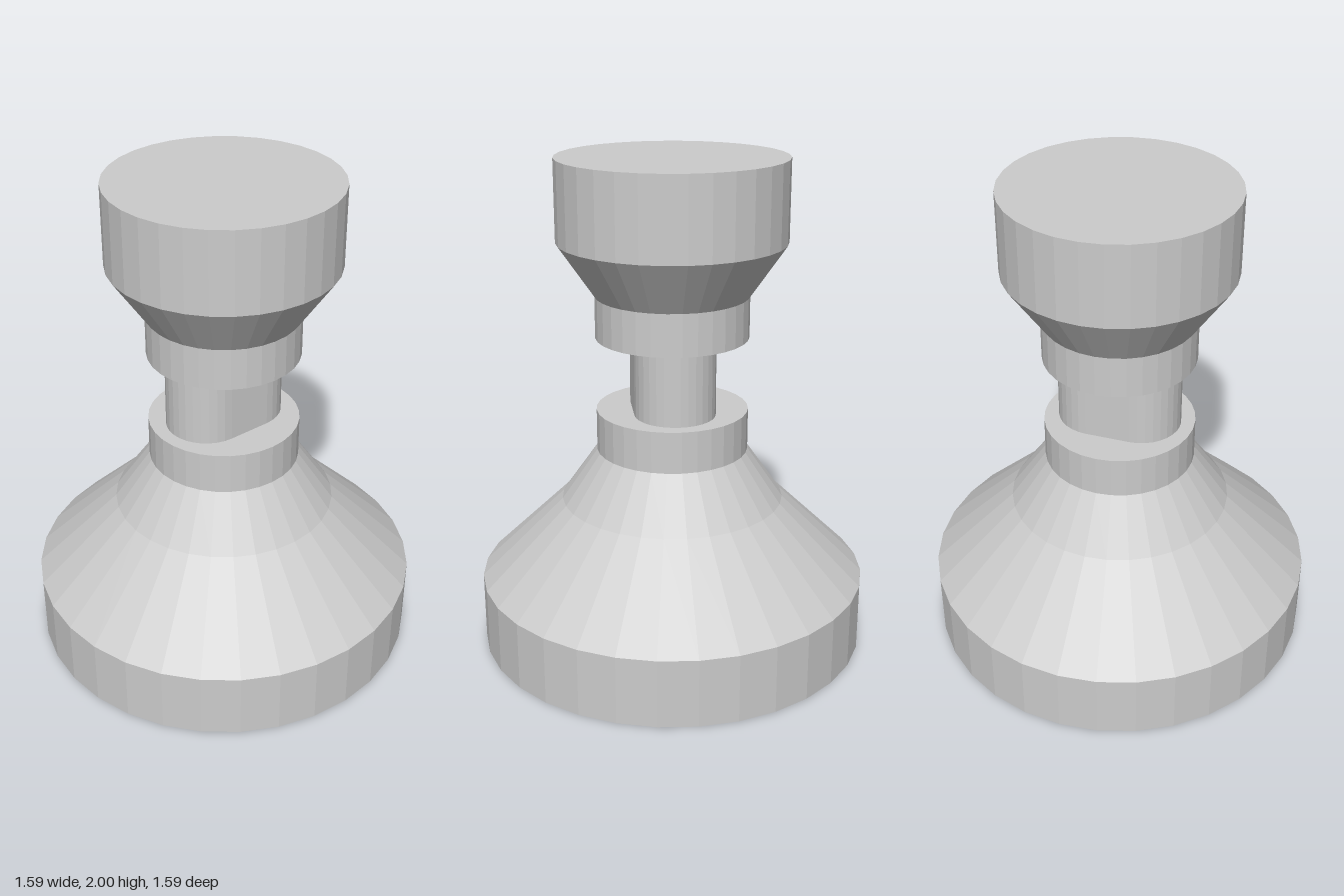
import * as THREE from 'three';

const material = new THREE.MeshStandardMaterial({ color: 0xcccccc, flatShading: true });

// Turned part from [radius, height] pairs, listed bottom to top
function turned(name, profile) {
  const points = profile.map(([r, y]) => new THREE.Vector2(r, y));
  const mesh = new THREE.Mesh(new THREE.LatheGeometry(points, 32), material);
  mesh.name = name;
  return mesh;
}

// Upright bar with a straight-sided, round-ended cross-section
function roundEndedBar(name, halfStraight, radius, bottom, top) {
  const shape = new THREE.Shape();
  shape.absarc(halfStraight, 0, radius, -Math.PI / 2, Math.PI / 2, false);
  shape.absarc(-halfStraight, 0, radius, Math.PI / 2, Math.PI * 1.5, false);
  const geometry = new THREE.ExtrudeGeometry(shape, {
    depth: top - bottom, bevelEnabled: false, curveSegments: 8,
  });
  geometry.rotateX(-Math.PI / 2).translate(0, bottom, 0);
  const mesh = new THREE.Mesh(geometry, material);
  mesh.name = name;
  return mesh;
}

export function createModel() {
  const group = new THREE.Group();
  group.name = 'pedestalKnob';

  // Wide foot with two slopes rising to the lower collar
  group.add(turned('base', [
    [0, 0], [0.795, 0], [0.795, 0.28], [0.455, 0.61],
    [0.308, 0.82], [0.308, 0.99], [0, 0.99],
  ]));

  // Flattened neck between the collars
  group.add(roundEndedBar('neck', 0.09, 0.163, 0.99, 1.29));

  // Upper collar flaring into the round head
  group.add(turned('head', [
    [0, 1.29], [0.308, 1.29], [0.308, 1.46],
    [0.455, 1.675], [0.455, 2], [0, 2],
  ]));

  return group;
}
